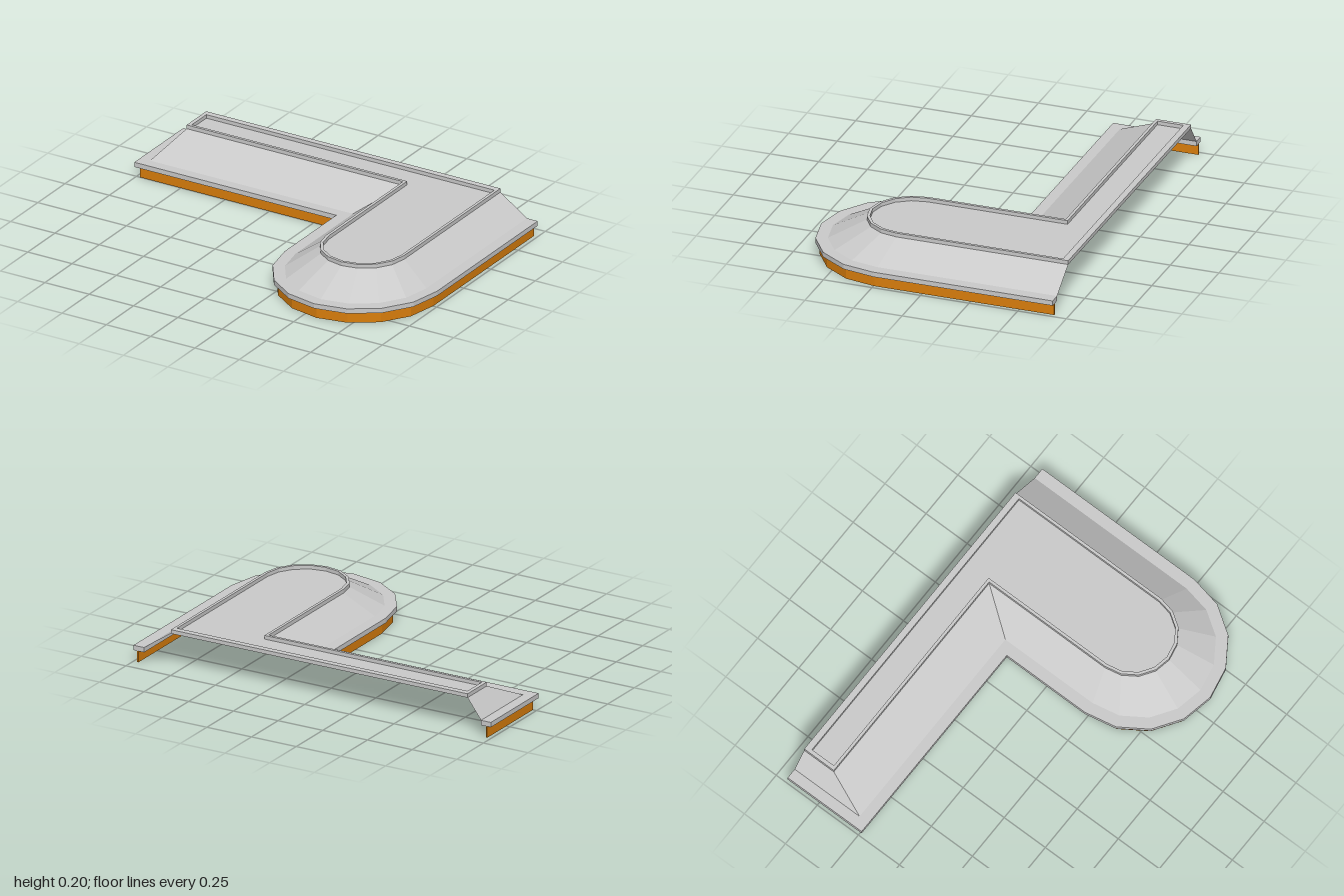
import * as THREE from 'three';

const BACK = -0.68, CX = 0.57, ARC_STEPS = 8;

// L-shaped outline with a rounded front wing, from back left round to back right
function outline(left, front, radius, arcZ, back = BACK) {
  const pts = [[left, back], [left, front], [CX - radius, front]];
  for (let i = 0; i <= ARC_STEPS; i++) {
    const a = Math.PI * (1 - i / ARC_STEPS);
    pts.push([CX + radius * Math.cos(a), arcZ + radius * Math.sin(a)]);
  }
  pts.push([CX + radius, back]);
  return pts.map(([x, z]) => new THREE.Vector2(x, z));
}

// Plan points to shape space, which is laid flat by rotating about x
const flat = (pts) => pts.map((p) => new THREE.Vector2(p.x, -p.y));

function extrudeUp(shape, y0, y1) {
  const g = new THREE.ExtrudeGeometry(shape, { depth: y1 - y0, bevelEnabled: false });
  return g.rotateX(-Math.PI / 2).translate(0, y0, 0);
}

// Band between two outlines, open along the back
function band(outer, inner, y0, y1) {
  return extrudeUp(new THREE.Shape(flat([...outer, ...[...inner].reverse()])), y0, y1);
}

// Sloping faceted sheet between a lower and an upper outline
function slopeSheet(low, y0, high, y1) {
  const pos = [];
  for (let i = 0; i < low.length - 1; i++) {
    const a = [low[i].x, y0, low[i].y], b = [low[i + 1].x, y0, low[i + 1].y];
    const c = [high[i + 1].x, y1, high[i + 1].y], d = [high[i].x, y1, high[i].y];
    pos.push(...a, ...b, ...c, ...a, ...c, ...d);
  }
  const g = new THREE.BufferGeometry();
  g.setAttribute('position', new THREE.Float32BufferAttribute(pos, 3));
  g.computeVertexNormals();
  return g;
}

export function createModel() {
  const model = new THREE.Group();
  model.name = 'mansardRoof';
  const grey = new THREE.MeshStandardMaterial({ color: 0xcacaca, side: THREE.DoubleSide, flatShading: true });
  grey.name = 'roofGrey';
  const orange = new THREE.MeshStandardMaterial({ color: 0xd97e0c, side: THREE.DoubleSide, flatShading: true });
  orange.name = 'fasciaOrange';

  const add = (name, geometry, material) => {
    const mesh = new THREE.Mesh(geometry, material);
    mesh.name = name;
    model.add(mesh);
  };

  const slopeFoot = outline(-0.945, -0.285, 0.37, 0.245);
  const slopeTop = outline(-0.87, -0.5, 0.22, 0.205);
  const deckEdge = outline(-0.85, -0.515, 0.205, 0.205, -0.648);

  // Thin fascia hanging below the eaves
  add('fascia', band(outline(-0.98, -0.25, 0.41, 0.245), outline(-0.972, -0.258, 0.402, 0.245), 0, 0.058), orange);
  // Eaves ledge
  add('eaves', band(outline(-1, -0.23, 0.43, 0.245), slopeFoot, 0.058, 0.083), grey);
  // Roof slopes
  add('slopes', slopeSheet(slopeFoot, 0.083, slopeTop, 0.185), grey);
  // Raised curb all round the flat top
  const curb = new THREE.Shape(flat(slopeTop));
  curb.holes.push(new THREE.Path(flat(deckEdge)));
  add('curb', extrudeUp(curb, 0.185, 0.205), grey);
  // Sunken flat deck
  const deck = new THREE.ShapeGeometry(new THREE.Shape(flat(deckEdge)));
  add('deck', deck.rotateX(-Math.PI / 2).translate(0, 0.186, 0), grey);

  return model;
}
